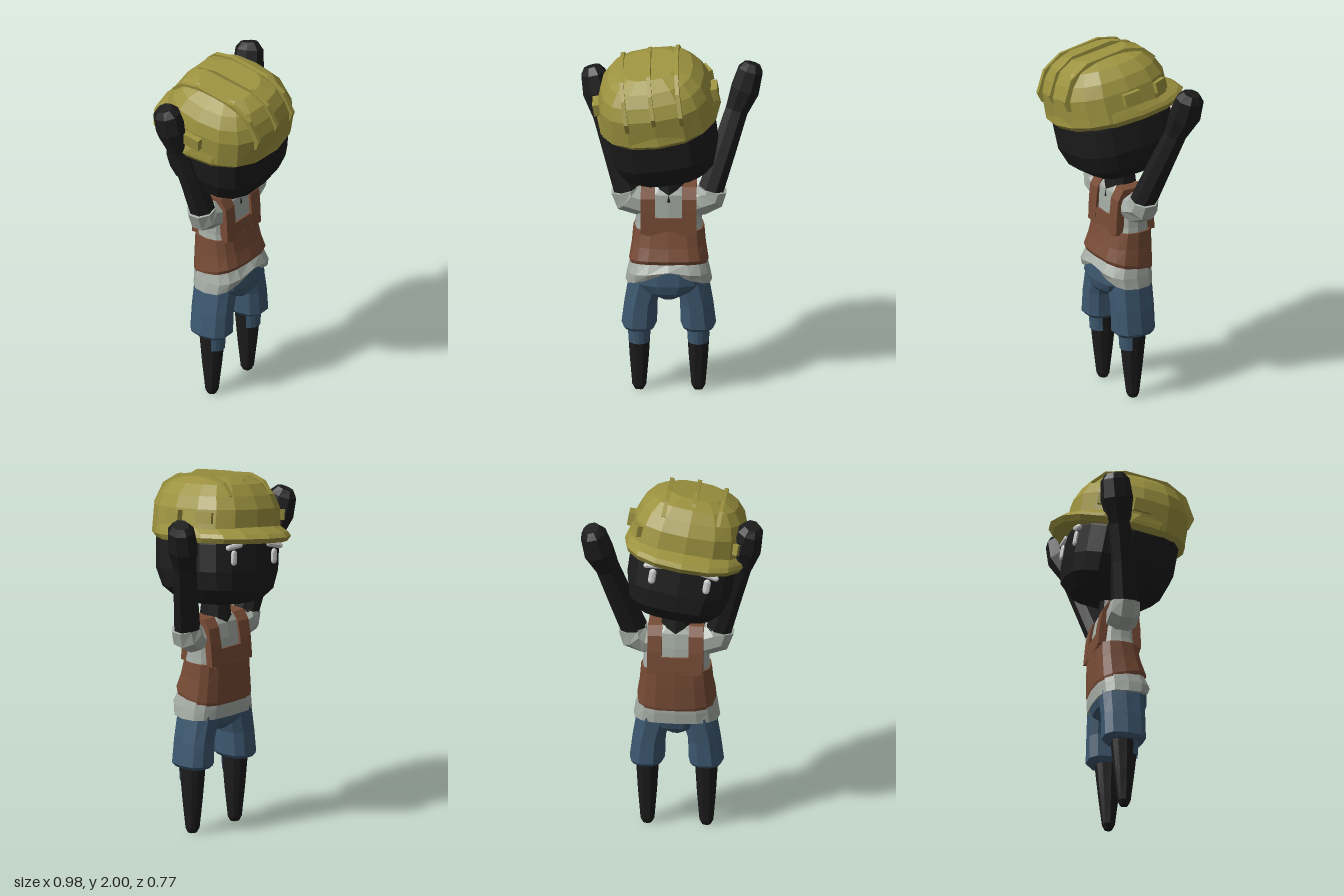
import * as THREE from 'three';

const paint = (color) => new THREE.MeshStandardMaterial({ color, flatShading: true, side: THREE.DoubleSide });
const BLACK = paint(0x1c1c1c), YELLOW = paint(0x9c923f), BROWN = paint(0x784c36);
const SHIRT = paint(0xa6ada6), DENIM = paint(0x3d5870), WHITE = paint(0xe8e8e8);

function add(parent, name, geometry, material) {
  const mesh = new THREE.Mesh(geometry, material);
  mesh.name = name;
  parent.add(mesh);
  return mesh;
}

// Joins rings of points into a closed skin with a fan at either end
function skin(rings) {
  const n = rings[0].length, pos = [], idx = [];
  rings.forEach((r) => r.forEach((p) => pos.push(p.x, p.y, p.z)));
  for (let i = 0; i < rings.length - 1; i++) {
    for (let j = 0; j < n; j++) {
      const a = i * n + j, b = i * n + (j + 1) % n;
      idx.push(a, b, b + n, a, b + n, a + n);
    }
  }
  [0, rings.length - 1].forEach((i) => {
    const c = new THREE.Vector3();
    rings[i].forEach((p) => c.addScaledVector(p, 1 / n));
    const k = pos.length / 3;
    pos.push(c.x, c.y, c.z);
    for (let j = 0; j < n; j++) {
      const a = i * n + j, b = i * n + (j + 1) % n;
      if (i) idx.push(k, a, b); else idx.push(k, b, a);
    }
  });
  const g = new THREE.BufferGeometry();
  g.setAttribute('position', new THREE.Float32BufferAttribute(pos, 3));
  g.setIndex(idx);
  g.computeVertexNormals();
  return g;
}

// Stack of rounded sections, each [y, rx, rz, cx, cz]; lift(point, row) may raise points
function loft(sections, sides = 16, power = 2.6, lift = () => 0) {
  const bend = (v) => Math.sign(v) * Math.abs(v) ** (2 / power);
  return skin(sections.map(([y, rx, rz, cx = 0, cz = 0], row) =>
    Array.from({ length: sides }, (_, j) => {
      const a = (j / sides) * Math.PI * 2;
      const p = new THREE.Vector3(cx + rx * bend(Math.cos(a)), y, cz - rz * bend(Math.sin(a)));
      p.y += lift(p, row);
      return p;
    })));
}

// Limb through stations [x, y, z, radius across, radius in depth]
function limb(stations, sides = 8) {
  const pts = stations.map((s) => new THREE.Vector3(s[0], s[1], s[2]));
  return skin(pts.map((p, i) => {
    const t = pts[Math.min(i + 1, pts.length - 1)].clone().sub(pts[Math.max(i - 1, 0)]).normalize();
    const u = new THREE.Vector3(1, 0, 0).addScaledVector(t, -t.x).normalize();
    const v = t.clone().cross(u);
    return Array.from({ length: sides }, (_, j) => {
      const a = ((j + 0.5) / sides) * Math.PI * 2;
      return p.clone().addScaledVector(u, Math.cos(a) * stations[i][3]).addScaledVector(v, Math.sin(a) * stations[i][4]);
    });
  }));
}

// Side profile of [z, y] points, given width along x
function slab(profile, width) {
  const shape = new THREE.Shape(profile.map(([z, y]) => new THREE.Vector2(z, y)));
  return new THREE.ExtrudeGeometry(shape, { depth: width, bevelEnabled: false })
    .translate(0, 0, -width / 2).rotateY(-Math.PI / 2);
}

function buildHead() {
  const head = new THREE.Group();
  head.name = 'head';
  add(head, 'skull', loft([
    [-0.39, 0.1, 0.1, 0, -0.02], [-0.365, 0.2, 0.2, 0, -0.02], [-0.3, 0.265, 0.27, 0, -0.01],
    [-0.2, 0.295, 0.295], [-0.05, 0.3, 0.295], [0.08, 0.29, 0.285]], 16, 3), BLACK);

  // Hard hat shell and brim, the peak reaching towards the face side
  add(head, 'helmetShell', loft([
    [-0.01, 0.325, 0.32, 0, 0.01], [0.14, 0.31, 0.318, 0, 0.01], [0.21, 0.285, 0.285, 0, 0.01],
    [0.27, 0.235, 0.24, 0, 0.01], [0.31, 0.15, 0.16, 0, 0.01]], 16, 2.6), YELLOW);
  add(head, 'helmetBrim', loft([
    [-0.04, 0.325, 0.35, 0, -0.035], [-0.012, 0.34, 0.375, 0, -0.035],
    [0.01, 0.335, 0.36, 0, -0.025], [0.045, 0.322, 0.318, 0, 0.01]], 16, 2.3), YELLOW);
  const ridge = [[0.325, 0.1], [0.342, 0.16], [0.275, 0.27], [0.16, 0.327], [-0.08, 0.334],
    [-0.19, 0.3], [-0.25, 0.23], [0, 0.1]];
  [-1, 0, 1].forEach((k) => {
    const fin = add(head, 'helmetRidge', slab(ridge, 0.022), YELLOW);
    fin.position.set(k * 0.15, k ? -0.015 : 0, k ? -0.008 : 0);
  });
  [-1, 1].forEach((s) => {
    const clip = add(head, 'helmetClip', new THREE.BoxGeometry(0.04, 0.07, 0.1), YELLOW);
    clip.position.set(s * 0.322, 0.095, 0.01);
    const front = add(head, 'helmetFrontClip', new THREE.BoxGeometry(0.035, 0.06, 0.09), YELLOW);
    front.position.set(s * 0.28, 0.095, -0.185);
    front.rotation.y = s * 0.45;

    // Eyes and slanting brows
    const eye = add(head, 'eye', new THREE.CapsuleGeometry(0.02, 0.045, 4, 8), WHITE);
    eye.position.set(s * 0.15, -0.12, -0.287);
    eye.scale.z = 0.6;
    const brow = add(head, 'eyebrow', new THREE.CapsuleGeometry(0.016, 0.085, 4, 8), WHITE);
    brow.position.set(s * 0.15, -0.058, -0.287);
    brow.rotation.z = Math.PI / 2 - s * 0.15;
  });
  head.position.set(-0.07, 1.655, 0.04);
  head.rotation.set(0.14, 0, 0.165);
  return head;
}

function buildTorso() {
  const torso = new THREE.Group();
  torso.name = 'torso';
  const cx = -0.015;
  add(torso, 'neck', new THREE.CylinderGeometry(0.07, 0.095, 0.2, 10).translate(cx, 1.24, 0), BLACK);
  // Shirt hem rises in an arch over the seat
  add(torso, 'shirt', loft([
    [0.66, 0.235, 0.145, cx, 0.02], [0.72, 0.225, 0.155, cx, 0.025], [0.8, 0.205, 0.138, cx, 0.01],
    [1.0, 0.18, 0.108, cx, -0.008], [1.1, 0.175, 0.1, cx, -0.005], [1.18, 0.15, 0.09, cx, 0],
    [1.215, 0.09, 0.07, cx, 0]], 16, 2.8,
  (p, row) => (row < 2 && p.z > 0.03 ? (0.09 - row * 0.05) * Math.max(0, 1 - Math.abs(p.x - cx) / 0.235) : 0)), SHIRT);

  // Vest: wrap around the waist, bib and shoulder straps
  add(torso, 'vestWaist', loft([
    [0.76, 0.212, 0.14, cx, 0.012], [0.78, 0.215, 0.147, cx, 0.014], [0.88, 0.2, 0.135, cx, 0.002],
    [0.97, 0.192, 0.122, cx, -0.008]], 16, 2.9, (p, row) => (row < 2 ? p.z * 0.22 : 0)), BROWN);
  const bib = add(torso, 'vestBib', slab([[0.113, 0.95], [0.107, 1.05], [-0.12, 1.05], [-0.129, 0.95]], 0.25), BROWN);
  bib.position.x = cx;
  const strap = [[0.113, 0.96], [0.108, 1.08], [0.1, 1.16], [0.065, 1.22], [-0.065, 1.22],
    [-0.1, 1.17], [-0.118, 1.08], [-0.129, 0.96]];
  [-1, 1].forEach((s) => {
    add(torso, 'vestStrap', slab(strap, 0.078), BROWN).position.x = cx + s * 0.112;
  });
  return torso;
}

function buildArm(name, s, shoulder, elbow, wrist, palm, tip) {
  const arm = new THREE.Group();
  arm.name = name;
  add(arm, 'sleeve', limb([
    [s * 0.1, 1.11, 0, 0.08, 0.085], [s * 0.16, 1.115, 0, 0.085, 0.09],
    [shoulder[0], shoulder[1] - 0.025, shoulder[2], 0.09, 0.088],
    [shoulder[0] + s * 0.012, shoulder[1] + 0.02, shoulder[2], 0.083, 0.08]]), SHIRT);
  add(arm, 'forearm', limb([
    [...shoulder, 0.074, 0.074], [...elbow, 0.07, 0.068], [...wrist, 0.066, 0.062],
    [...palm, 0.083, 0.09], [...tip, 0.072, 0.08], [tip[0] + s * 0.01, tip[1] + 0.035, tip[2] - 0.008, 0.045, 0.05]]), BLACK);
  return arm;
}

function buildLeg(name, x) {
  const leg = new THREE.Group();
  leg.name = name;
  const s = Math.sign(x);
  add(leg, 'shortsLeg', loft([
    [0.38, 0.08, 0.1, 0, 0.012], [0.4, 0.096, 0.119, 0, 0.012], [0.53, 0.09, 0.119, -s * 0.01, 0.012],
    [0.68, 0.1, 0.12, -s * 0.045, 0.01]], 10, 2.6), DENIM);
  add(leg, 'shin', loft([
    [0.005, 0.025, 0.022, 0, 0.015], [0.03, 0.038, 0.034, 0, 0.015], [0.2, 0.052, 0.055, 0, 0.015],
    [0.42, 0.065, 0.078, 0, 0.015]], 10, 2.4), BLACK);
  add(leg, 'calfPatch', new THREE.CylinderGeometry(0.069, 0.063, 0.1, 6, 1, true, -1.1, 2.2)
    .scale(1, 1, 1.18).translate(0, 0.345, 0.015), DENIM);
  leg.position.x = x;
  return leg;
}

export function createModel() {
  const model = new THREE.Group();
  model.name = 'worker';
  model.add(buildHead(), buildTorso());
  // Seat of the shorts
  add(model, 'hips', loft([
    [0.575, 0.05, 0.09, -0.015, 0.03], [0.62, 0.15, 0.135, -0.015, 0.025], [0.67, 0.205, 0.148, -0.015, 0.025],
    [0.75, 0.195, 0.145, -0.015, 0.025]], 14, 2.4), DENIM);
  model.add(
    buildArm('leftArm', 1, [0.21, 1.165, -0.01], [0.285, 1.39, -0.075], [0.35, 1.59, -0.135], [0.395, 1.7, -0.165], [0.425, 1.81, -0.18]),
    buildArm('rightArm', -1, [-0.24, 1.165, 0], [-0.305, 1.39, -0.03], [-0.365, 1.59, -0.065], [-0.405, 1.72, -0.09], [-0.425, 1.82, -0.105]),
    buildLeg('leftLeg', 0.145), buildLeg('rightLeg', -0.175));
  return model;
}
